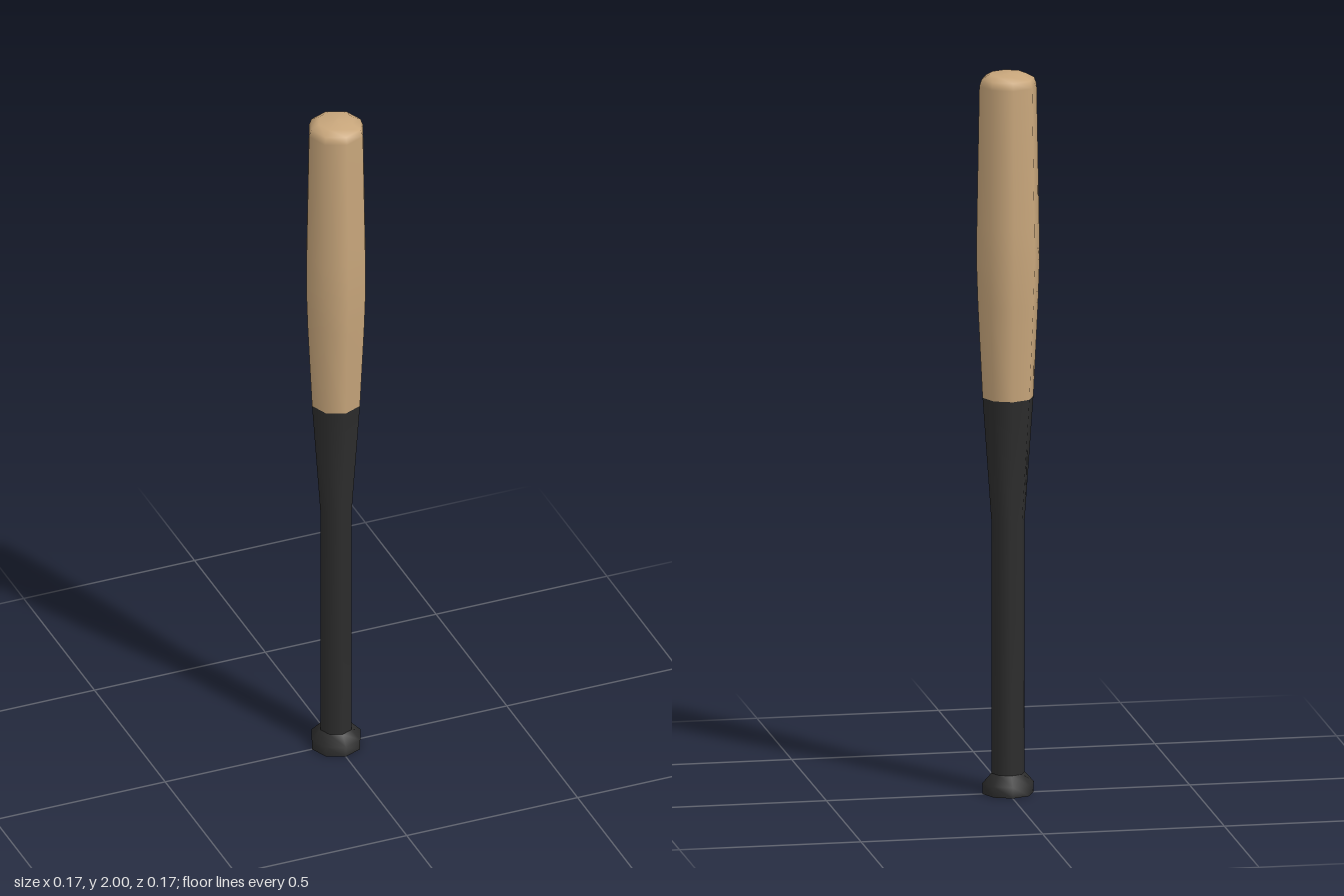
import * as THREE from 'three';

const SIDES = 8;

export function createModel() {
  const wood = new THREE.MeshStandardMaterial({ color: 0xc9a77c });
  wood.name = 'pale wood';
  const black = new THREE.MeshStandardMaterial({ color: 0x2d2d2d });
  black.name = 'black grip';

  const bat = new THREE.Group();
  bat.name = 'bat';

  // Eight-sided turned part from [radius, height] pairs, bottom to top
  const turned = (name, material, profile) => {
    const points = profile.map(([r, y]) => new THREE.Vector2(r, y));
    const mesh = new THREE.Mesh(new THREE.LatheGeometry(points, SIDES), material);
    mesh.name = name;
    bat.add(mesh);
  };

  // Flat underside and flared knob
  turned('knobBase', black, [[0, 0], [0.07, 0]]);
  turned('knob', black, [[0.07, 0], [0.071, 0.03], [0.046, 0.057]]);

  // Straight handle widening into the taper
  turned('grip', black, [[0.046, 0.057], [0.046, 0.76], [0.07, 1.1]]);

  // Barrel, widest in the middle, with a rounded tip
  turned('barrel', wood, [
    [0.07, 1.1], [0.083, 1.36], [0.087, 1.48], [0.086, 1.58],
    [0.079, 1.965], [0.072, 1.985], [0.05, 1.997], [0, 2],
  ]);

  return bat;
}
